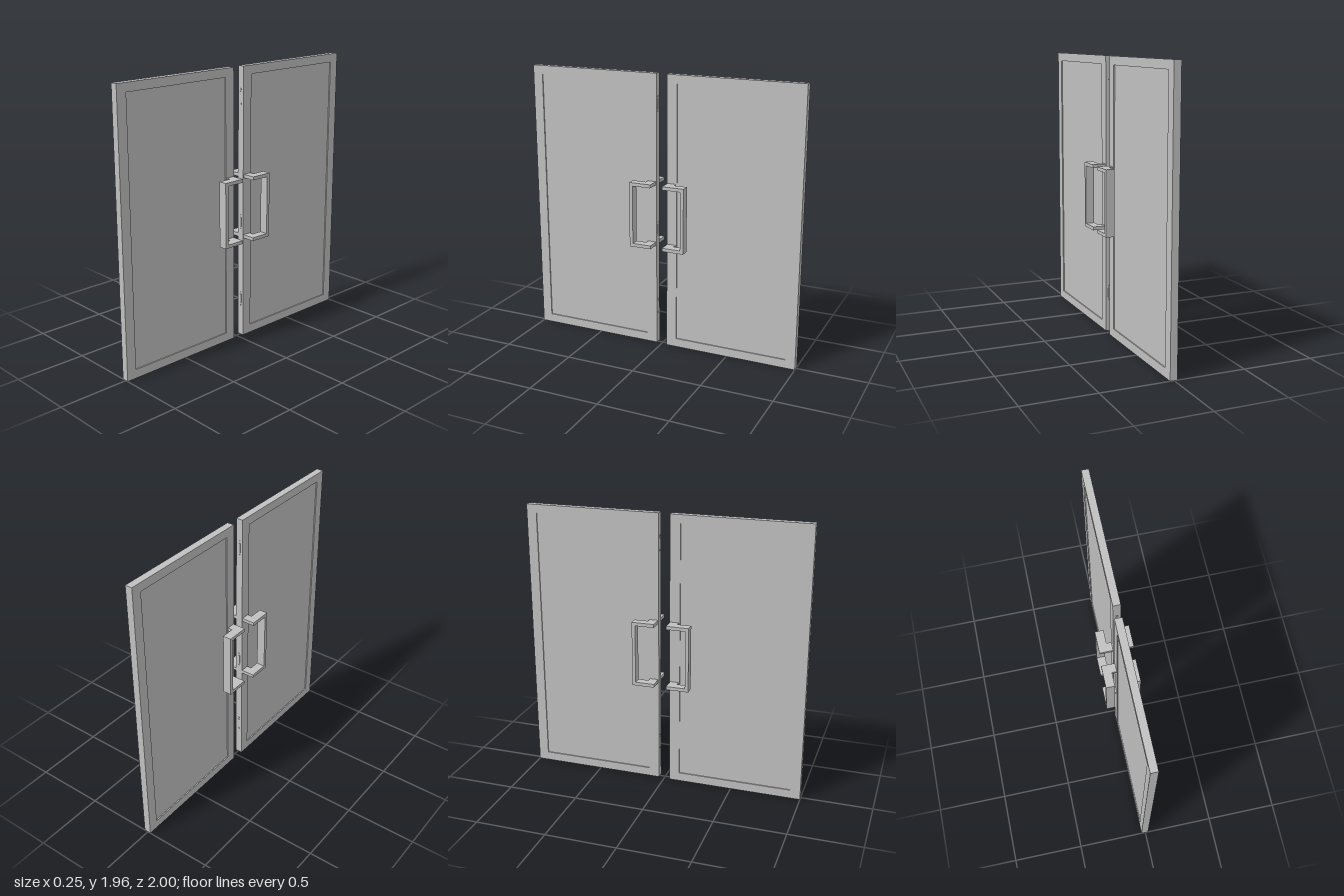
import * as THREE from 'three';

export function createModel() {
  const model = new THREE.Group();
  model.name = 'doubleDoors';
  const metal = new THREE.MeshStandardMaterial({ color: 0xc0c0c0 });
  metal.name = 'light grey';

  const add = (parent, name, geometry, x = 0, y = 0, z = 0) => {
    const mesh = new THREE.Mesh(geometry, metal);
    mesh.name = name;
    mesh.position.set(x, y, z);
    parent.add(mesh);
    return mesh;
  };
  const box = (parent, name, [x0, x1], [y0, y1], [z0, z1]) =>
    add(parent, name, new THREE.BoxGeometry(x1 - x0, y1 - y0, z1 - z0),
      (x0 + x1) / 2, (y0 + y1) / 2, (z0 + z1) / 2);
  const polygon = (Type, points) => new Type(points.map(p => new THREE.Vector2(...p)));
  const rect = (Type, a, b, c, d) => polygon(Type, [[a, b], [c, b], [c, d], [a, d]]);

  const makeDoor = (name) => {
    const door = new THREE.Group();
    door.name = name;

    // Raised border around a slightly sunken panel
    const outline = rect(THREE.Shape, 0.041, 0, 1, 1.957);
    outline.holes.push(rect(THREE.Path, 0.115, 0.062, 0.929, 1.897));
    const frame = new THREE.ExtrudeGeometry(outline, { depth: 0.05, bevelEnabled: false });
    frame.translate(0, 0, -0.025).rotateY(-Math.PI / 2);
    add(door, 'frame', frame);
    box(door, 'panel', [-0.017, 0.017], [0.062, 1.897], [0.115, 0.929]);

    // Pull handles on both faces: two L-shaped arms joined by an upright grip
    for (const side of [-1, 1]) {
      const handle = new THREE.Group();
      handle.name = side > 0 ? 'leftHandle' : 'rightHandle';
      const arm = polygon(THREE.Shape, [
        [0.025, 0.046], [0.119, 0.046], [0.119, 0.205],
        [0.058, 0.205], [0.058, 0.107], [0.025, 0.107],
      ].map(([x, z]) => [x * side, z]));
      for (const [armName, top] of [['upperArm', 1.21], ['lowerArm', 0.77]]) {
        const geometry = new THREE.ExtrudeGeometry(arm, { depth: 0.024, bevelEnabled: false });
        geometry.rotateX(Math.PI / 2);
        add(handle, armName, geometry, 0, top, 0);
      }
      const xs = [0.058 * side, 0.119 * side].sort((a, b) => a - b);
      box(handle, 'grip', xs, [0.77, 1.186], [0.181, 0.205]);
      door.add(handle);
    }

    // Small fixing plates with screw heads on the meeting edge
    for (const y of [0.28, 0.86, 1.75]) {
      box(door, 'edgePlate', [-0.008, 0.008], [y - 0.035, y + 0.035], [0.038, 0.042]);
      for (const dy of [-0.05, 0.05]) {
        const screw = new THREE.CylinderGeometry(0.006, 0.006, 0.004, 12);
        add(door, 'screw', screw, 0, y + dy, 0.04).rotation.x = Math.PI / 2;
      }
    }
    return door;
  };

  const frontDoor = makeDoor('frontDoor');
  frontDoor.position.x = -0.005;
  const backDoor = makeDoor('backDoor');
  backDoor.rotation.y = Math.PI;
  backDoor.position.x = 0.003;
  model.add(frontDoor, backDoor);
  return model;
}
